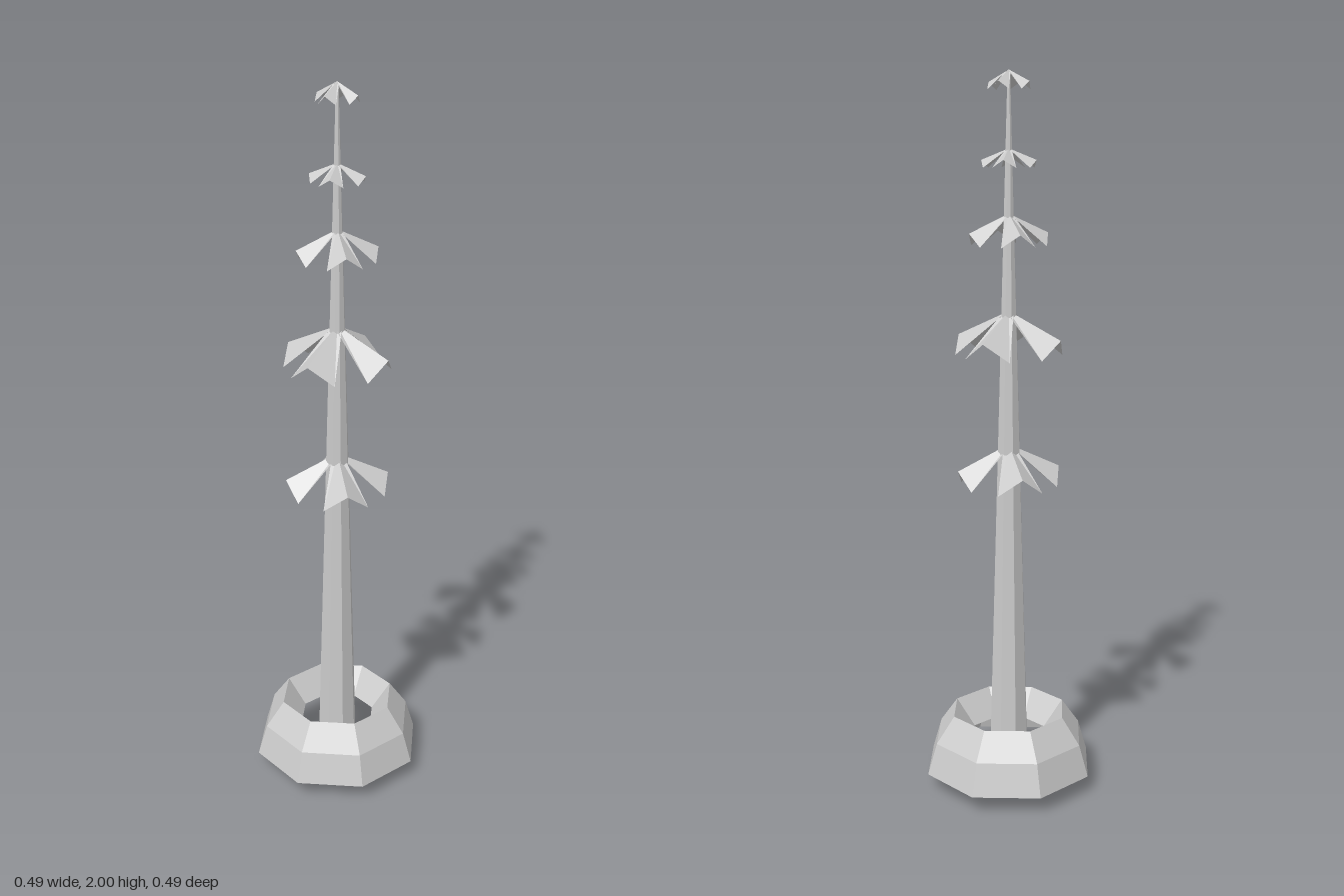
import * as THREE from 'three';

const material = new THREE.MeshStandardMaterial({
  color: 0xcccccc, flatShading: true, side: THREE.DoubleSide,
});

function addMesh(parent, name, geometry) {
  const mesh = new THREE.Mesh(geometry, material);
  mesh.name = name;
  parent.add(mesh);
  return mesh;
}

// One drooping leaf: narrow at the stem, folded along its ridge, blunt at the tip
function leafGeometry(reach, drop) {
  const w = reach * 0.43, b = reach * 0.12;
  const ridge = [0, 0, 0], tip = [0, -drop * 0.6, reach];
  const corner = (s) => [s * w, -drop, reach * 0.84];
  const root = (s) => [s * b, -drop * 0.08, reach * 0.06];
  const triangles = [
    ridge, tip, corner(1), ridge, corner(1), root(1),
    ridge, corner(-1), tip, ridge, root(-1), corner(-1),
  ];
  const geometry = new THREE.BufferGeometry();
  geometry.setAttribute('position', new THREE.Float32BufferAttribute(triangles.flat(), 3));
  geometry.computeVertexNormals();
  return geometry;
}

export function createModel() {
  const model = new THREE.Group();
  model.name = 'pottedTree';

  // Tapered eight-sided trunk
  const trunk = addMesh(model, 'trunk', new THREE.CylinderGeometry(0.004, 0.06, 1.99, 8, 1, true));
  trunk.position.y = 0.995;

  // Skirt-like base with a funnel folded in at the rim
  const profile = [[0.247, 0.05], [0.22, 0.14], [0.167, 0.215], [0.11, 0.14]];
  addMesh(model, 'base', new THREE.LatheGeometry(
    profile.map(([r, y]) => new THREE.Vector2(r, y)), 8));

  // Leaf tiers: height, reach, drop, turn in degrees
  const tiers = [
    [1.0, 0.145, 0.115, -6],
    [1.37, 0.155, 0.12, 43],
    [1.63, 0.11, 0.085, -5],
    [1.8, 0.075, 0.05, 58],
    [2.0, 0.06, 0.05, 42],
  ];
  for (const [y, reach, drop, turn] of tiers) {
    const tier = new THREE.Group();
    tier.name = 'leafTier';
    tier.position.y = y;
    const geometry = leafGeometry(reach, drop);
    for (let i = 0; i < 4; i++) {
      const leaf = addMesh(tier, 'leaf', geometry);
      leaf.rotation.y = THREE.MathUtils.degToRad(turn + i * 90);
    }
    model.add(tier);
  }
  return model;
}
